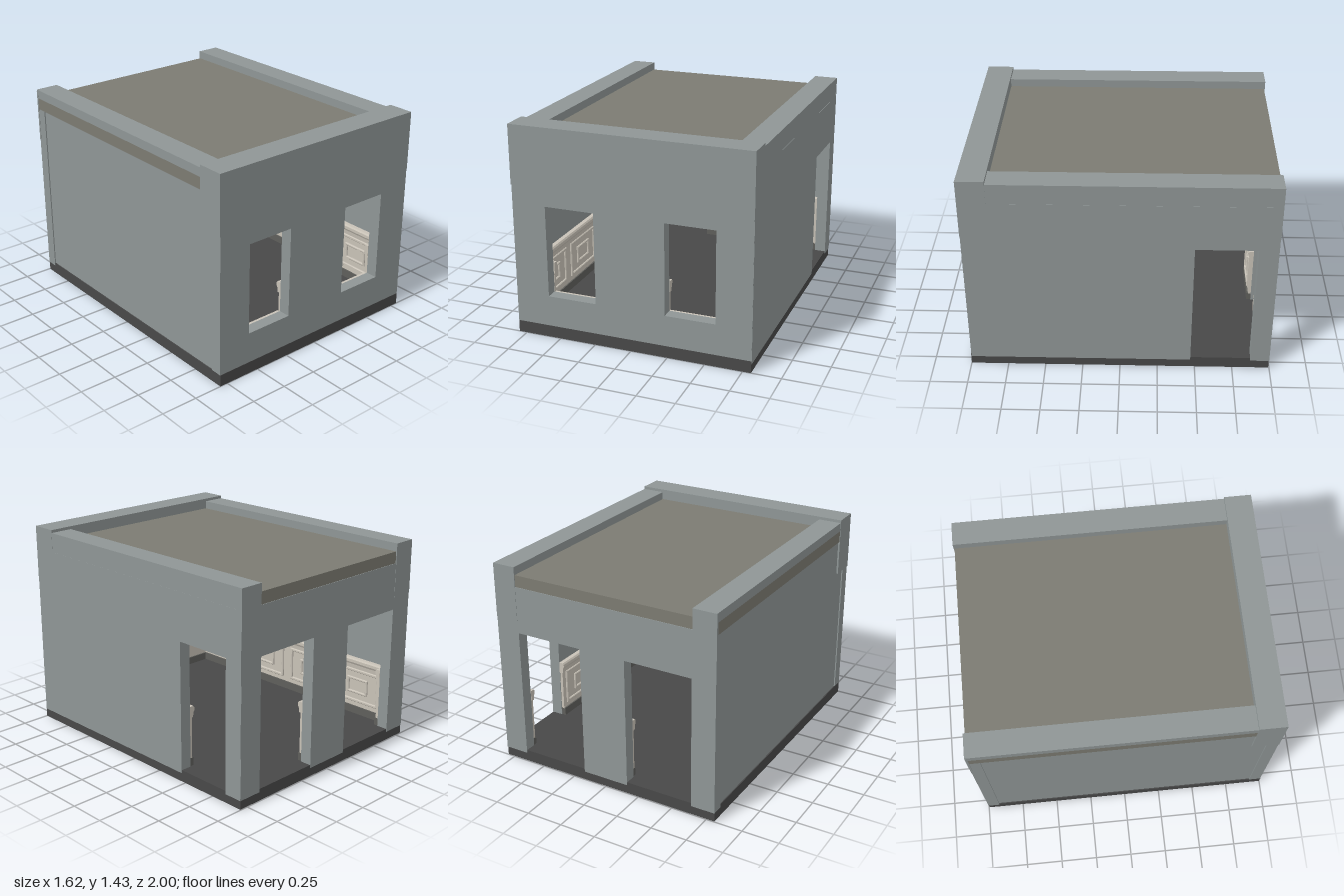
import * as THREE from 'three';

const mat = (color, side = THREE.FrontSide) =>
  new THREE.MeshStandardMaterial({ color, flatShading: true, side });
const wallMat = mat(0x8f9696);
const roofMat = mat(0x7c7b72);
const floorMat = mat(0x484848);
const trimMat = mat(0xc8c2b7);
const skirtMat = mat(0x5f5f5b);

function add(parent, name, geometry, material) {
  const mesh = new THREE.Mesh(geometry, material);
  mesh.name = name;
  parent.add(mesh);
  return mesh;
}

// Box given by its limits on each axis
function box(parent, name, [x0, x1], [y0, y1], [z0, z1], material) {
  const mesh = add(parent, name, new THREE.BoxGeometry(x1 - x0, y1 - y0, z1 - z0), material);
  mesh.position.set((x0 + x1) / 2, (y0 + y1) / 2, (z0 + z1) / 2);
  return mesh;
}

function rectPath(path, x0, x1, y0, y1) {
  path.moveTo(x0, y0);
  path.lineTo(x1, y0);
  path.lineTo(x1, y1);
  path.lineTo(x0, y1);
  path.closePath();
  return path;
}

// Upright wall in the XY plane; doors are notches [left, right, top], windows are holes
function wallGeometry([u0, u1], [y0, y1], depth, doors = [], windows = []) {
  const shape = new THREE.Shape();
  shape.moveTo(u0, y0);
  for (const [a, b, top] of doors) {
    shape.lineTo(a, y0);
    shape.lineTo(a, top);
    shape.lineTo(b, top);
    shape.lineTo(b, y0);
  }
  shape.lineTo(u1, y0);
  shape.lineTo(u1, y1);
  shape.lineTo(u0, y1);
  shape.closePath();
  for (const w of windows) shape.holes.push(rectPath(new THREE.Path(), ...w));
  return new THREE.ExtrudeGeometry(shape, { depth, bevelEnabled: false });
}

// Profile of [out, y] points swept along local x, centred
function moulding(parent, name, profile, length, material) {
  const shape = new THREE.Shape(profile.map(([d, y]) => new THREE.Vector2(d, y)));
  const geo = new THREE.ExtrudeGeometry(shape, { depth: length, bevelEnabled: false });
  geo.translate(0, 0, -length / 2);
  geo.rotateY(-Math.PI / 2);
  return add(parent, name, geo, material);
}

// Picture-frame moulding with chamfered edges
function frame(parent, name, cx, cy, w, h, rim, z, thick) {
  const c = 0.005;
  const shape = rectPath(new THREE.Shape(), -w / 2 + c, w / 2 - c, -h / 2 + c, h / 2 - c);
  shape.holes.push(rectPath(new THREE.Path(),
    -w / 2 + rim - c, w / 2 - rim + c, -h / 2 + rim - c, h / 2 - rim + c));
  const geo = new THREE.ExtrudeGeometry(shape, {
    depth: thick, bevelEnabled: true, bevelThickness: c, bevelSize: c, bevelSegments: 1
  });
  add(parent, name, geo, trimMat).position.set(cx, cy, z);
}

const RAIL = [[0, 0.42], [0.026, 0.42], [0.03, 0.45], [0.038, 0.465], [0.038, 0.485], [0.03, 0.495], [0, 0.495]];

// Panelled dado facing local +z
function wainscot(parent, length, panels, x, z, turn) {
  const g = new THREE.Group();
  g.name = 'wainscot';
  g.position.set(x, 0, z);
  g.rotation.y = turn;
  parent.add(g);
  const half = length / 2;
  box(g, 'dadoBoard', [-half, half], [0.13, 0.43], [0, 0.02], trimMat);
  box(g, 'skirting', [-half, half], [0.075, 0.135], [0, 0.03], skirtMat);
  moulding(g, 'dadoRail', RAIL, length + 0.01, trimMat);
  const pitch = length / Math.max(panels, 1);
  for (let i = 0; i < panels; i++) {
    const cx = -half + pitch * (i + 0.5);
    const w = pitch - 0.07;
    frame(g, 'outerPanelFrame', cx, 0.293, w, 0.25, 0.022, 0.018, 0.009);
    frame(g, 'innerPanelFrame', cx, 0.293, w - 0.2, 0.12, 0.018, 0.018, 0.009);
  }
}

export function createModel() {
  const room = new THREE.Group();
  room.name = 'room';
  const Q = Math.PI / 2;

  // Floor and roof slabs
  box(room, 'floorSlab', [-0.805, 0.805], [0, 0.08], [-0.995, 1], floorMat);
  box(room, 'roofSlab', [-0.806, 0.74], [1.27, 1.355], [-0.994, 0.93], roofMat);

  // Front wall with two windows, and its thicker upper block
  const windows = [[-0.575, -0.24, 0.29, 0.91], [0.235, 0.57, 0.29, 0.91]];
  add(room, 'frontWall', wallGeometry([-0.806, 0.806], [0.08, 1.04], 0.08, [], windows), wallMat)
    .position.z = 0.918;
  box(room, 'frontUpperBlock', [-0.81, 0.808], [1.03, 1.27], [0.92, 1], wallMat);
  box(room, 'frontParapet', [-0.81, 0.808], [1.27, 1.43], [0.82, 1], wallMat);
  for (const s of [-1, 1]) {
    const xs = s < 0 ? [-0.81, -0.73] : [0.73, 0.808];
    box(room, 'frontCornerBlock', xs, [1.03, 1.28], [0.82, 1], wallMat);
  }

  // Back wall with two doorways
  const doors = [[-0.64, -0.165, 0.955], [0.165, 0.64, 0.955]];
  add(room, 'backWall', wallGeometry([-0.806, 0.806], [0.06, 1.275], 0.08, doors), wallMat)
    .position.z = -0.998;

  // Side walls: one plain, one with a doorway
  box(room, 'rightWall', [-0.798, -0.73], [0.06, 1.275], [-0.93, 0.93], wallMat);
  const leftWall = add(room, 'leftWall',
    wallGeometry([-0.997, 0.997], [0.06, 1.275], 0.078, [[0.47, 0.87, 0.955]]), wallMat);
  leftWall.rotation.y = Q;
  leftWall.position.x = 0.73;

  // Side parapets with end blocks reaching down the back corners
  box(room, 'leftParapet', [0.645, 0.807], [1.272, 1.41], [-1, 0.83], wallMat);
  box(room, 'rightParapet', [-0.807, -0.645], [1.35, 1.41], [-1, 0.83], wallMat);
  for (const xs of [[-0.808, -0.645], [0.645, 0.808]])
    box(room, 'backCornerBlock', xs, [1.04, 1.4], [-1, -0.985], wallMat);

  // Dado panelling on the side walls
  wainscot(room, 1.8, 4, -0.73, 0, Q);
  wainscot(room, 1.37, 3, 0.73, 0.22, -Q);
  wainscot(room, 0.04, 0, 0.73, -0.895, -Q);

  // Dado panelling on the piers of the front and back walls
  wainscot(room, 0.47, 1, 0, 0.918, Math.PI);
  wainscot(room, 0.32, 1, 0, -0.918, 0);
  for (const s of [-1, 1]) {
    wainscot(room, 0.155, 0, s * 0.65, 0.918, Math.PI);
    wainscot(room, 0.085, 0, s * 0.685, -0.918, 0);
    // Skirting and board under each window
    const xs = s < 0 ? [-0.575, -0.24] : [0.235, 0.57];
    box(room, 'underWindowBoard', xs, [0.13, 0.288], [0.898, 0.919], trimMat);
    box(room, 'underWindowSkirting', xs, [0.075, 0.135], [0.888, 0.919], skirtMat);
  }

  // Cornice round the ceiling
  const crown = [[0, 1.13], [0.015, 1.13], [0.025, 1.16], [0.045, 1.185], [0, 1.185]];
  const band = [[0, 1.185], [0.05, 1.185], [0.05, 1.215], [0, 1.215]];
  const sides = [[1.84, -0.73, 0, Q], [1.84, 0.73, 0, -Q], [1.46, 0, 0.919, Math.PI], [1.46, 0, -0.919, 0]];
  for (const [length, x, z, turn] of sides) {
    const g = new THREE.Group();
    g.name = 'cornice';
    g.position.set(x, 0, z);
    g.rotation.y = turn;
    moulding(g, 'corniceMoulding', crown, length, trimMat);
    moulding(g, 'corniceBand', band, length, skirtMat);
    room.add(g);
  }
  return room;
}
